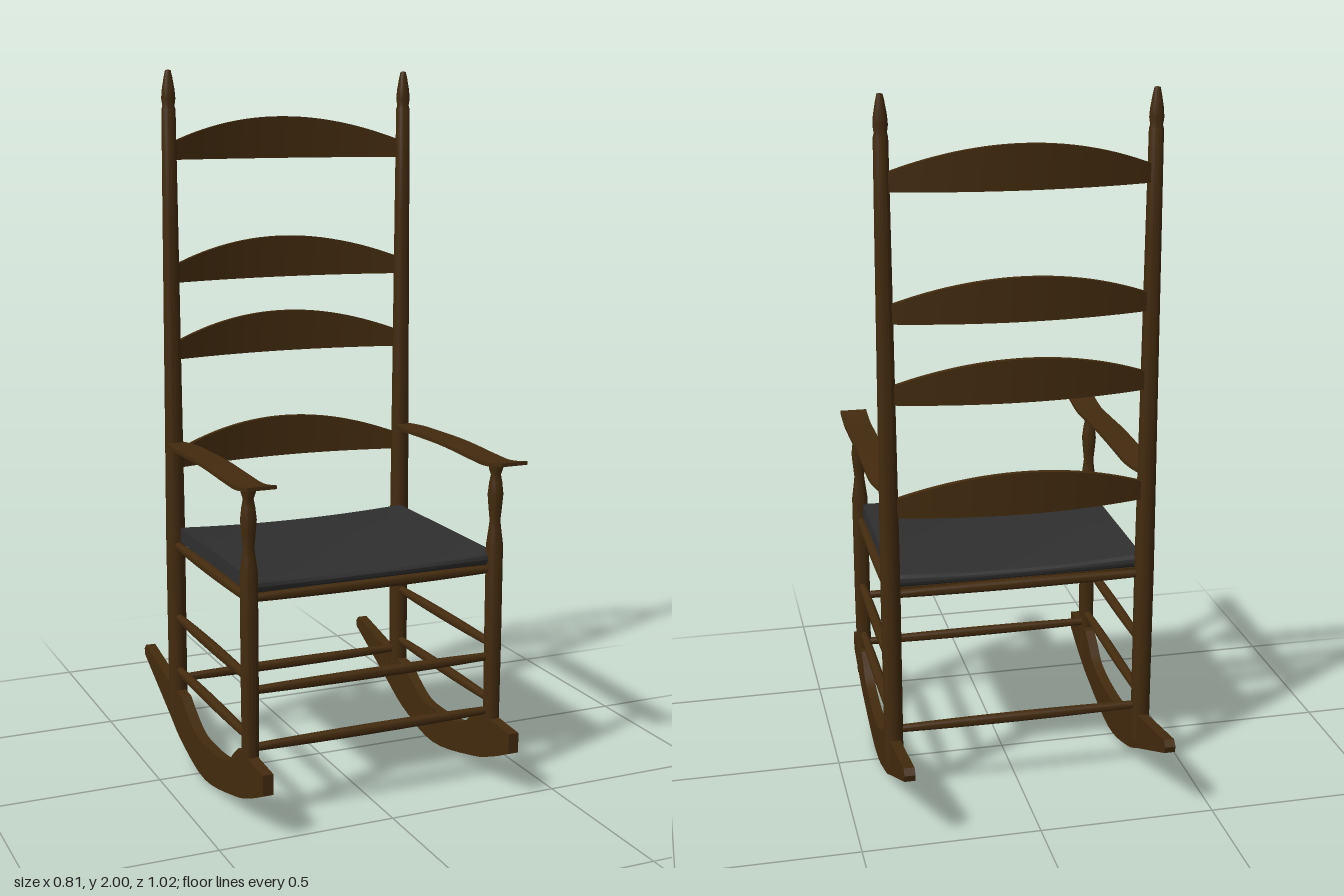
import * as THREE from 'three';
import { toCreasedNormals } from 'three/addons/utils/BufferGeometryUtils.js';

const V2 = (p) => new THREE.Vector2(p[0], p[1]);

export function createModel() {
  const chair = new THREE.Group();
  chair.name = 'rockingChair';
  const wood = new THREE.MeshStandardMaterial({ color: 0x432b0e });
  wood.name = 'dark wood';
  const fabric = new THREE.MeshStandardMaterial({ color: 0x2f2f2f });
  fabric.name = 'charcoal seat';

  const POST_X = 0.366, BACK_Z = -0.225, FRONT_Z = 0.38;

  function add(name, geometry, material = wood, x = 0, y = 0, z = 0) {
    const mesh = new THREE.Mesh(geometry, material);
    mesh.name = name;
    mesh.position.set(x, y, z);
    chair.add(mesh);
    return mesh;
  }
  const turned = (profile) =>
    toCreasedNormals(new THREE.LatheGeometry(profile.map(V2), 16), 0.7);

  // Slightly bulging round rung between two points
  function rung(name, from, to, r = 0.015) {
    const a = new THREE.Vector3(...from), b = new THREE.Vector3(...to);
    const half = a.distanceTo(b) / 2;
    const profile = [];
    for (let i = 0; i <= 8; i++) {
      const t = i / 4 - 1;
      profile.push([r * (1 - 0.28 * t * t), t * half]);
    }
    const mesh = add(name, turned(profile));
    mesh.position.copy(a).lerp(b, 0.5);
    mesh.quaternion.setFromUnitVectors(new THREE.Vector3(0, 1, 0), b.sub(a).normalize());
  }

  // Turned posts
  const backPost = turned([[0, 0.11], [0.027, 0.11], [0.028, 0.65], [0.025, 1.1], [0.022, 1.6],
    [0.02, 1.89], [0.017, 1.9], [0.02, 1.92], [0.018, 1.945], [0.012, 1.98], [0.008, 1.998], [0, 2]]);
  const frontPost = turned([[0, 0.11], [0.022, 0.11], [0.024, 0.4], [0.024, 0.7], [0.018, 0.745],
    [0.015, 0.77], [0.019, 0.81], [0.022, 0.845], [0.018, 0.88], [0.014, 0.9], [0.02, 0.918],
    [0.02, 0.937], [0, 0.937]]);

  // Rocker profile: (z, y)
  const topEdge = new THREE.SplineCurve([[0.33, 0.2], [0.29, 0.17], [0.24, 0.13], [0.16, 0.112],
    [0.06, 0.107], [-0.02, 0.113], [-0.09, 0.145], [-0.15, 0.183]].map(V2));
  const bottomEdge = new THREE.SplineCurve([[-0.505, 0.203], [-0.285, 0.1], [-0.15, 0.04],
    [0.05, 0.001], [0.3, 0.05], [0.42, 0.092], [0.51, 0.133]].map(V2));
  const rockerShape = new THREE.Shape([V2([0.51, 0.19]), ...topEdge.getPoints(24),
    V2([-0.23, 0.187]), V2([-0.495, 0.238]), V2([-0.51, 0.222]), ...bottomEdge.getPoints(28)]);
  const rockerGeo = toCreasedNormals(
    new THREE.ExtrudeGeometry(rockerShape, { depth: 0.03, bevelEnabled: false }), 0.5);
  rockerGeo.rotateY(-Math.PI / 2);
  rockerGeo.scale(-1, 1, 1);
  rockerGeo.scale(-1, 1, 1);
  rockerGeo.translate(0.015, 0, 0);

  // Thin arm, curled up at the front and narrowed at the back post
  const armLine = new THREE.SplineCurve([[-0.225, 0.934], [-0.1, 0.938], [0.12, 0.942],
    [0.3, 0.936], [0.39, 0.935], [0.48, 0.949]].map(V2));
  const armGeo = new THREE.BoxGeometry(0.08, 0.01, 1, 2, 1, 32);
  const ap = armGeo.attributes.position;
  for (let i = 0; i < ap.count; i++) {
    const c = armLine.getPoint(ap.getZ(i) + 0.5);
    const k = THREE.MathUtils.clamp((-0.1 - c.x) / 0.12, 0, 1);
    ap.setXYZ(i, ap.getX(i) * (1 - 0.5 * k * k), c.y + ap.getY(i), c.x);
  }
  const arm = toCreasedNormals(armGeo, 0.6);

  for (const [side, s] of [['left', 1], ['right', -1]]) {
    const x = s * POST_X;
    add(side + 'BackPost', backPost, wood, x, 0, BACK_Z);
    add(side + 'FrontPost', frontPost, wood, x, 0, FRONT_Z);
    add(side + 'Rocker', rockerGeo, wood, x);
    add(side + 'Arm', arm, wood, x);
    for (const y of [0.245, 0.41, 0.63])
      rung(side + 'SideRung', [x, y, BACK_Z], [x, y, FRONT_Z]);
  }

  // Cross rungs and seat rails
  for (const y of [0.215, 0.375, 0.63])
    rung('frontRung', [-POST_X, y, FRONT_Z - 0.005], [POST_X, y, FRONT_Z - 0.005]);
  for (const y of [0.215, 0.63])
    rung('backRung', [-POST_X, y, BACK_Z], [POST_X, y, BACK_Z]);

  // Woven seat: rounded section swept across, sagging in the middle
  const zf = 0.386, zb = -0.222, r = 0.02, y0 = 0.642, y1 = 0.684;
  const section = new THREE.Shape();
  section.moveTo(zb + r, y0);
  section.lineTo(zf - r, y0);
  section.absarc(zf - r, y0 + r, r, -Math.PI / 2, 0);
  section.absarc(zf - r, y1 - r, r, 0, Math.PI / 2);
  section.absarc(zb + r, y1 - r, r, Math.PI / 2, Math.PI);
  section.absarc(zb + r, y0 + r, r, Math.PI, Math.PI * 1.5);
  let seatGeo = new THREE.ExtrudeGeometry(section,
    { depth: 0.72, steps: 16, bevelEnabled: false, curveSegments: 6 });
  seatGeo.rotateY(-Math.PI / 2);
  seatGeo.translate(0.36, 0, 0);
  // the sweep runs along x, so the section's z is kept
  const sp = seatGeo.attributes.position;
  for (let i = 0; i < sp.count; i++) {
    const t = sp.getX(i) / 0.36;
    const h = (sp.getY(i) - y0) / (y1 - y0);
    sp.setY(i, sp.getY(i) - 0.012 * h * (1 - t * t));
  }
  add('seat', toCreasedNormals(seatGeo, 0.6), fabric);
  add('seatUnderside', new THREE.BoxGeometry(0.7, 0.008, 0.58), wood, 0, 0.638, 0.08);

  // Bowed back slats with arched top edges
  const slatGeo = new THREE.BoxGeometry(0.72, 1, 0.016, 28, 1, 1);
  const bp = slatGeo.attributes.position;
  for (let i = 0; i < bp.count; i++) {
    const t = bp.getX(i) / 0.36;
    const bow = 1 - t * t;
    const height = 0.048 + 0.072 * bow;
    bp.setY(i, (bp.getY(i) + 0.5) * height);
    bp.setZ(i, bp.getZ(i) - 0.228 - 0.05 * bow);
  }
  const slat = toCreasedNormals(slatGeo, 0.6);
  for (const y of [0.86, 1.18, 1.402, 1.75]) add('backSlat', slat, wood, 0, y, 0);

  return chair;
}
